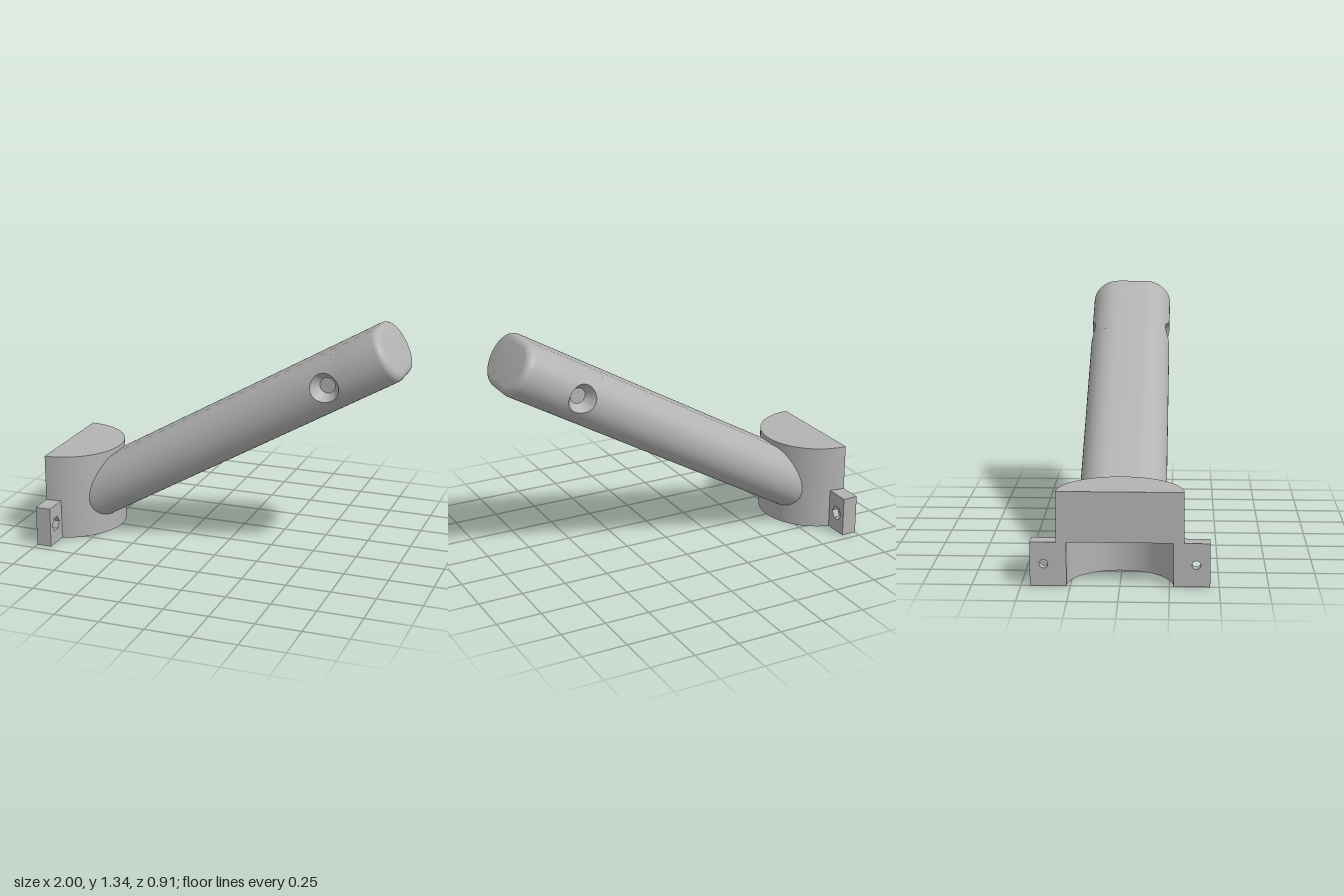
import * as THREE from 'three';
import { toCreasedNormals } from 'three/addons/utils/BufferGeometryUtils.js';

const grey = new THREE.MeshStandardMaterial({ color: 0xb3b3b3 });
grey.name = 'grey';

// Arm section: two half circles of radius R, their centres H either side of the middle
const R = 0.153, H = 0.077, N = 24, TILT = Math.PI / 6;
const ARM = new THREE.Vector3(0.61, 1.03, 0); // arm origin, at the side sockets
const BAND = 0.11, END = 0.379, FILLET = 0.04;
const BACK = -1, OUTER = 0.323, INNER = 0.27, STEP = 0.227, TOP = 0.49;

function addMesh(group, name, geometry) {
  const mesh = new THREE.Mesh(toCreasedNormals(geometry, 0.5), grey);
  mesh.name = name;
  group.add(mesh);
  return mesh;
}

// Surface through rows of points; point(i, j) returns [x, y, z]
function grid(out, rows, cols, point) {
  for (let i = 0; i < rows; i++) {
    for (let j = 0; j < cols; j++) {
      const a = point(i, j), b = point(i, j + 1);
      const c = point(i + 1, j), d = point(i + 1, j + 1);
      out.push(...a, ...b, ...c, ...c, ...b, ...d);
    }
  }
}

// Closed oval outline as [across, z] pairs
function oval(r, h = H) {
  const pts = [];
  for (const s of [1, -1]) {
    for (let k = 0; k <= N; k++) {
      const t = Math.PI / 2 - (k / N) * Math.PI;
      pts.push([s * r * Math.sin(t), s * (h + r * Math.cos(t))]);
    }
  }
  pts.push(pts[0]);
  return pts;
}

function armGeometry() {
  const out = [];
  const ring = oval(R), cols = ring.length - 1;

  // Long shaft, its lower end following the curved wall of the bracket
  grid(out, 1, cols, (i, j) => {
    const [v, w] = ring[j];
    const x = BACK + Math.sqrt(0.3 ** 2 - w * w);
    const start = (x - ARM.x + v * Math.sin(TILT)) / Math.cos(TILT);
    return [i ? -BAND : start, v, w];
  });

  // Rounded tip, closed by a flat cap
  const tip = [[BAND, R, H]];
  for (let k = 0; k <= 8; k++) {
    const t = (k / 8) * Math.PI / 2;
    tip.push([END - FILLET + FILLET * Math.sin(t), R - FILLET * (1 - Math.cos(t)), H]);
  }
  tip.push([END, 0, 0]);
  const tipRings = tip.map(([u, r, h]) => oval(r, h).map(([v, w]) => [u, v, w]));
  grid(out, tip.length - 1, cols, (i, j) => tipRings[i][j]);

  // Band with a tapered socket in each rounded side
  const rows = 8, rim = 0.08, floor = 0.043, floorZ = R + H - 0.07;
  for (const s of [1, -1]) {
    grid(out, 1, 1, (i, j) => [i ? BAND : -BAND, s * R, s * (j ? H : -H)]);
    grid(out, rows + 2, 4 * N, (i, j) => {
      const a = -Math.PI / 4 + (j / (4 * N)) * 2 * Math.PI;
      if (i > rows) {
        const r = i === rows + 1 ? floor : 0;
        return [r * Math.cos(a), s * r * Math.sin(a), s * floorZ];
      }
      // blend from the square outline of the patch to the round rim
      const side = Math.floor(j / N) % 4, f = ((j % N) / N) * 2 - 1;
      const [eu, et] = [[1, f], [-f, 1], [-1, -f], [f, -1]][side];
      const k = i / rows;
      const u = THREE.MathUtils.lerp(eu * BAND, rim * Math.cos(a), k);
      const t = THREE.MathUtils.lerp(et * Math.PI / 2, Math.asin(rim * Math.sin(a) / R), k);
      return [u, s * R * Math.sin(t), s * (H + R * Math.cos(t))];
    });
  }
  const geometry = new THREE.BufferGeometry();
  geometry.setAttribute('position', new THREE.Float32BufferAttribute(out, 3));
  return geometry;
}

// Half disc or half ring lying flat, extruded upward
function halfRound(inner, y0, y1) {
  const q = Math.PI / 2;
  const shape = new THREE.Shape();
  shape.absarc(0, 0, OUTER, -q, q, false);
  if (inner) shape.absarc(0, 0, inner, q, -q, true);
  shape.closePath();
  const g = new THREE.ExtrudeGeometry(shape, { depth: y1 - y0, bevelEnabled: false, curveSegments: 48 });
  return g.rotateX(-q).translate(BACK, y0, 0);
}

// Upright lug plate with a hole of the given number of sides
function lugPlate(z, x0, x1, holeRadius, sides) {
  const z0 = 0.29, z1 = 0.455, s = -Math.sign(z);
  const lo = Math.min(s * z0, s * z1), hi = Math.max(s * z0, s * z1);
  const shape = new THREE.Shape([[lo, 0], [hi, 0], [hi, STEP], [lo, STEP]].map(p => new THREE.Vector2(...p)));
  const hole = [];
  for (let k = 0; k < sides; k++) {
    const a = -(k / sides) * 2 * Math.PI;
    hole.push(new THREE.Vector2(-z + holeRadius * Math.cos(a), 0.114 + holeRadius * Math.sin(a)));
  }
  shape.holes.push(new THREE.Path(hole));
  const g = new THREE.ExtrudeGeometry(shape, { depth: x1 - x0, bevelEnabled: false });
  return g.rotateY(Math.PI / 2).translate(x0, 0, 0);
}

export function createModel() {
  const model = new THREE.Group();
  model.name = 'angledHolder';

  // Bracket: solid upper half disc over an open half ring
  addMesh(model, 'bracketTop', halfRound(0, STEP, TOP));
  addMesh(model, 'bracketRing', halfRound(INNER, 0, STEP));

  // Mounting lugs: round bolt hole behind, hexagonal nut recess in front
  for (const [side, z] of [['left', -0.385], ['right', 0.385]]) {
    const lug = new THREE.Group();
    lug.name = side + 'Lug';
    addMesh(lug, 'boltPlate', lugPlate(z, BACK, -0.95, 0.022, 24));
    addMesh(lug, 'nutPlate', lugPlate(z, -0.95, -0.913, 0.043, 6));
    model.add(lug);
  }

  // Sloping arm
  const arm = addMesh(model, 'arm', armGeometry());
  arm.position.copy(ARM);
  arm.rotation.z = TILT;
  return model;
}
